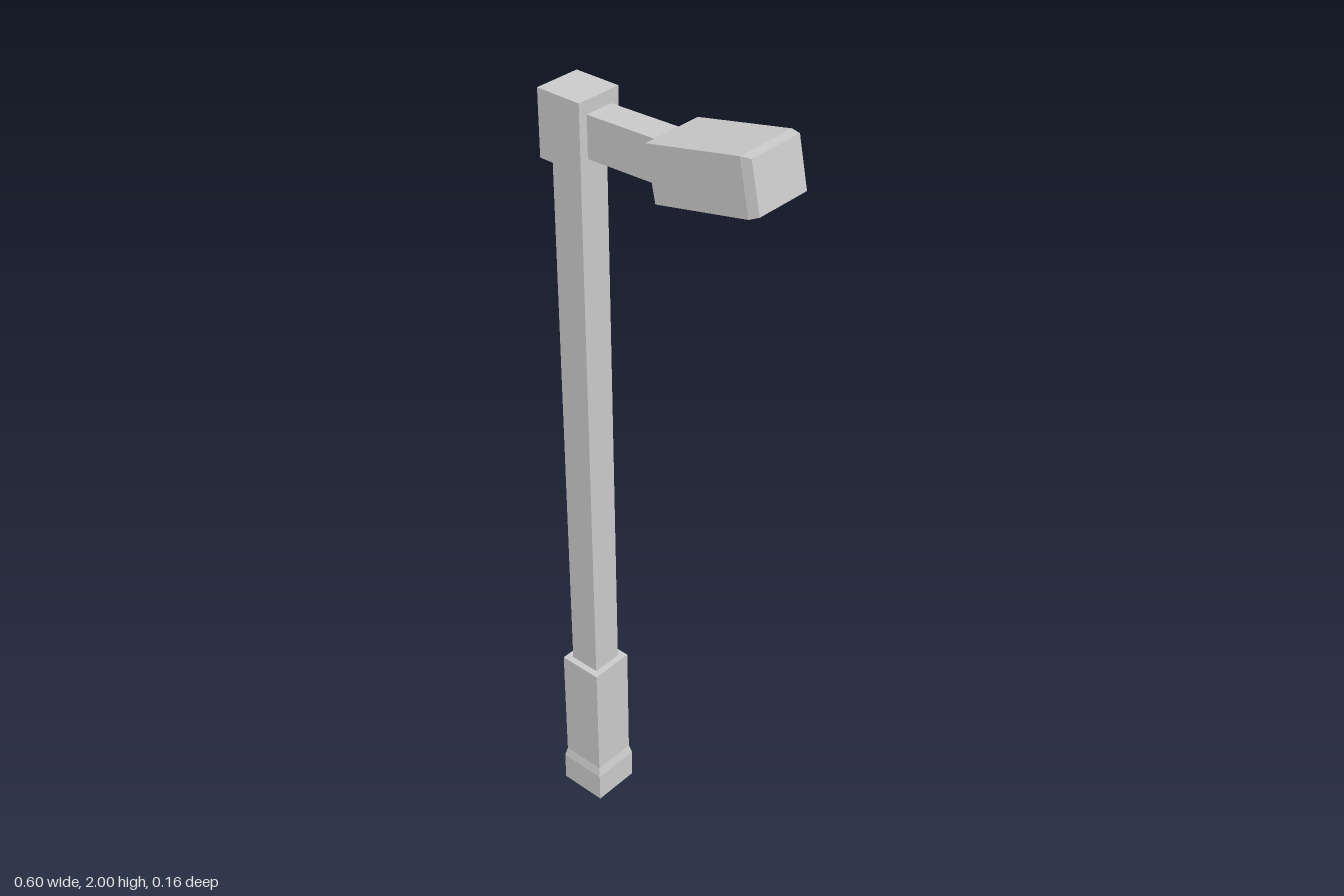
import * as THREE from 'three';

const material = new THREE.MeshStandardMaterial({ color: 0xcccccc, flatShading: true });

// Closed four-sided prism along y from [width, y] sections
function squareProfile(sections) {
  const points = sections.map(([w, y]) => new THREE.Vector2(w / Math.SQRT2, y));
  points.unshift(new THREE.Vector2(0, sections[0][1]));
  points.push(new THREE.Vector2(0, sections[sections.length - 1][1]));
  return new THREE.LatheGeometry(points, 4).rotateY(Math.PI / 4);
}

function addPart(group, name, geometry, x, y, angle = 0) {
  const mesh = new THREE.Mesh(geometry, material);
  mesh.name = name;
  mesh.position.set(x, y, 0);
  mesh.rotation.z = angle;
  group.add(mesh);
}

export function createModel() {
  const group = new THREE.Group();
  group.name = 'streetLamp';
  const poleX = -0.236;

  // Upright: stepped foot, slender pole, square cap
  addPart(group, 'base', squareProfile([[0.125, 0], [0.125, 0.08], [0.114, 0.105], [0.114, 0.425]]), poleX, 0);
  addPart(group, 'pole', new THREE.BoxGeometry(0.08, 1.4, 0.08), poleX, 1.12);
  addPart(group, 'cap', new THREE.BoxGeometry(0.116, 0.155, 0.116), poleX, 1.8875);

  // Slightly rising arm, let into the cap and the lamp head
  addPart(group, 'arm', new THREE.BoxGeometry(0.25, 0.097, 0.072), -0.08, 1.888, 0.03);

  // Tilted lamp head with a bevelled outer end
  const head = squareProfile([[1, 0], [1, 0.239], [0.92, 0.262]]);
  head.rotateZ(-Math.PI / 2).scale(1, 0.125, 0.156);
  addPart(group, 'lampHead', head, 0.03, 1.888, 0.206);

  return group;
}
